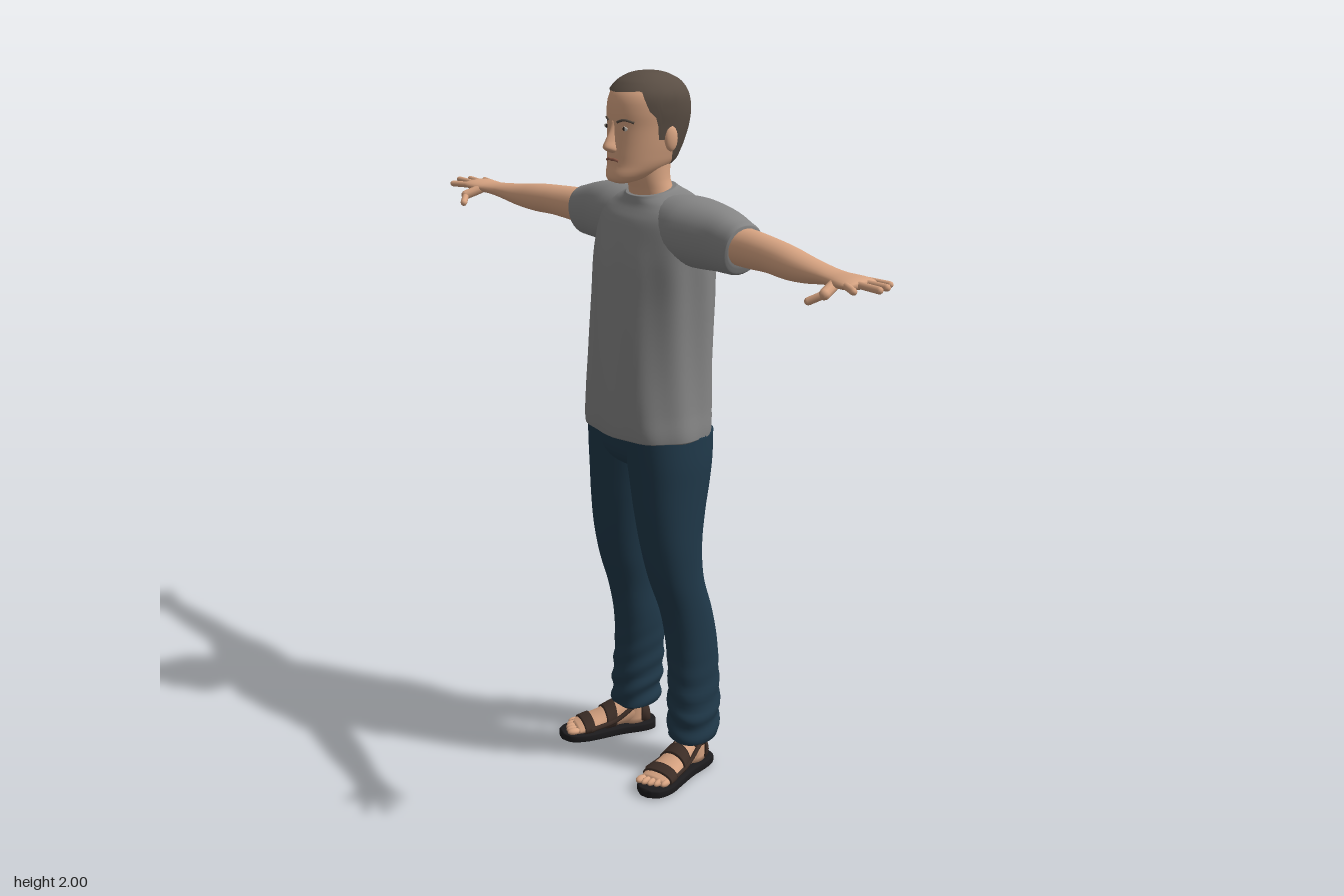
import * as THREE from 'three';

const mat = (name, color, side = THREE.FrontSide) => {
  const m = new THREE.MeshStandardMaterial({ color, side });
  m.name = name;
  return m;
};

// Sections are [w, uMin, uMax, vMin, vMax]; smooth interpolation at position w
function sample(secs, w) {
  const last = secs.length - 1;
  let i = 0;
  while (i < last - 1 && w > secs[i + 1][0]) i++;
  const p = secs[i], q = secs[i + 1], h = q[0] - p[0];
  const t = Math.min(1, Math.max(0, (w - p[0]) / h));
  const slope = (k, c) => {
    const a = secs[Math.max(0, k - 1)], b = secs[Math.min(last, k + 1)];
    return (b[c] - a[c]) / (b[0] - a[0]);
  };
  return [1, 2, 3, 4].map((c) =>
    (2 * t ** 3 - 3 * t * t + 1) * p[c] + (t ** 3 - 2 * t * t + t) * h * slope(i, c) +
    (3 * t * t - 2 * t ** 3) * q[c] + (t ** 3 - t * t) * h * slope(i + 1, c));
}

// Closed skin over rounded sections along x (u=y,v=z), y (u=z,v=x) or z (u=x,v=y)
function loft(axis, secs, { seg = 32, sub = 4, n = 2, from = null, warp = null } = {}) {
  const rows = [];
  secs.forEach((s, i) => {
    if (i === 0) rows.push(s[0]);
    else for (let k = 1; k <= sub; k++) rows.push(secs[i - 1][0] + (s[0] - secs[i - 1][0]) * k / sub);
  });
  const w0 = rows[0], w1 = rows[rows.length - 1], pos = [], idx = [];
  const bend = (x) => Math.sign(x) * Math.abs(x) ** (2 / n);
  const put = (u, v, w, c, s) => {
    const p = axis === 'x' ? new THREE.Vector3(w, u, v)
      : axis === 'y' ? new THREE.Vector3(v, w, u) : new THREE.Vector3(u, v, w);
    if (warp) warp(p, c, s);
    pos.push(p.x, p.y, p.z);
  };
  for (const row of rows) {
    for (let j = 0; j < seg; j++) {
      const th = j / seg * Math.PI * 2, c = bend(Math.cos(th)), s = bend(Math.sin(th));
      const start = from ? from(Math.min(th, 2 * Math.PI - th)) : w0;
      const w = start + (row - w0) * (w1 - start) / (w1 - w0);
      const [a, b, d, e] = sample(secs, w);
      put((a + b) / 2 + (b - a) / 2 * c, (d + e) / 2 + (e - d) / 2 * s, w, c, s);
    }
  }
  for (let i = 0; i < rows.length - 1; i++) for (let j = 0; j < seg; j++) {
    const a = i * seg + j, b = i * seg + (j + 1) % seg;
    idx.push(a, b, a + seg, b, b + seg, a + seg);
  }
  const cap = (w, base, flip) => {
    const [a, b, d, e] = sample(secs, w), k = pos.length / 3;
    put((a + b) / 2, (d + e) / 2, w, 0, 0);
    for (let j = 0; j < seg; j++) {
      const p = base + j, q = base + (j + 1) % seg;
      idx.push(k, flip ? q : p, flip ? p : q);
    }
  };
  if (!from) cap(w0, 0, true);
  cap(w1, (rows.length - 1) * seg, false);
  const g = new THREE.BufferGeometry();
  g.setAttribute('position', new THREE.Float32BufferAttribute(pos, 3));
  g.setIndex(idx);
  g.computeVertexNormals();
  return g;
}

const grow = (secs, d) => secs.map(([w, a, b, c, e]) => [w, a - d, b + d, c - d, e + d]);
const slice = (secs, a, b, d) => grow([0, 0.5, 1].map((t) => [a + (b - a) * t, ...sample(secs, a + (b - a) * t)]), d);
const vec = (p) => new THREE.Vector3(...p);
const ball = (p, r) => new THREE.SphereGeometry(1, 16, 12).scale(...r).translate(...p);
const tube = (pts, r) => new THREE.TubeGeometry(new THREE.CatmullRomCurve3(pts.map(vec)), 12, r, 6);

// Round-ended rod between two points
function rod(p, q, r) {
  const a = vec(p), b = vec(q), d = b.clone().sub(a), mid = a.add(b).multiplyScalar(0.5);
  return new THREE.CapsuleGeometry(r, d.length(), 4, 10)
    .applyQuaternion(new THREE.Quaternion().setFromUnitVectors(new THREE.Vector3(0, 1, 0), d.normalize()))
    .translate(mid.x, mid.y, mid.z);
}

function mirror(geo) {
  const g = geo.clone().scale(-1, 1, 1), ix = g.index.array;
  for (let i = 0; i < ix.length; i += 3) [ix[i], ix[i + 1]] = [ix[i + 1], ix[i]];
  return g;
}

export function createModel() {
  const model = new THREE.Group();
  model.name = 'standingMan';
  const skin = mat('skin', 0xd8a482), hair = mat('hair', 0x5a4e44, THREE.DoubleSide);
  const cloth = mat('greyShirt', 0x858585), denim = mat('denim', 0x20394a);
  const leather = mat('brownLeather', 0x3d2e27, THREE.DoubleSide), rubber = mat('blackRubber', 0x1c1b1d);
  const white = mat('eyeWhite', 0xd8d2c8), dark = mat('iris', 0x2c2420), lip = mat('lip', 0x8f5c4a);
  const add = (name, geo, m) => {
    const mesh = new THREE.Mesh(geo, m);
    mesh.name = name;
    model.add(mesh);
  };
  const pair = (name, geo, m) => {
    add('left' + name, geo, m);
    add('right' + name, mirror(geo), m);
  };

  // Shirt body, with soft folds and a neckline that dips at the front
  const foldShirt = (p, c, s) => {
    const k = 0.003 * Math.sin(9 * Math.atan2(s, c) + p.y * 7) * THREE.MathUtils.smoothstep(1.62 - p.y, 0, 0.15);
    p.z += c * k;
    p.x += s * k;
    p.y -= Math.max(0, p.z + 0.07) * 0.25 * THREE.MathUtils.smoothstep(p.y, 1.6, 1.7);
  };
  add('shirtBody', loft('y', [
    [1.016, -0.142, 0.13, -0.19, 0.19], [1.024, -0.15, 0.142, -0.2, 0.2], [1.1, -0.16, 0.145, -0.193, 0.193],
    [1.2, -0.165, 0.14, -0.188, 0.188], [1.3, -0.166, 0.132, -0.188, 0.188], [1.4, -0.165, 0.122, -0.192, 0.192],
    [1.5, -0.158, 0.11, -0.198, 0.198], [1.57, -0.148, 0.092, -0.2, 0.2], [1.62, -0.135, 0.075, -0.197, 0.197],
    [1.655, -0.118, 0.062, -0.18, 0.18], [1.68, -0.1, 0.052, -0.135, 0.135], [1.695, -0.082, 0.048, -0.088, 0.088],
    [1.703, -0.074, 0.045, -0.074, 0.074],
  ], { seg: 72, sub: 5, n: 2.3, warp: foldShirt }), cloth);

  // Sleeves with a slanted hem
  pair('Sleeve', loft('x', [
    [0.06, 1.5, 1.68, -0.13, 0.05], [0.15, 1.5, 1.683, -0.142, 0.058], [0.22, 1.5, 1.677, -0.138, 0.045],
    [0.28, 1.503, 1.666, -0.126, 0.028], [0.34, 1.505, 1.648, -0.113, 0.02], [0.365, 1.51, 1.64, -0.107, 0.016],
    [0.369, 1.53, 1.628, -0.1, 0.008],
  ], { n: 2.2, warp: (p) => { p.x += (p.y - 1.585) * 0.18 * THREE.MathUtils.smoothstep(p.x, 0.2, 0.36); } }), cloth);

  // Arms and palms
  pair('Arm', loft('x', [
    [0.3, 1.535, 1.632, -0.105, 0.01], [0.38, 1.532, 1.632, -0.1, 0.008], [0.5, 1.54, 1.627, -0.08, 0.02],
    [0.58, 1.54, 1.622, -0.065, 0.03], [0.66, 1.547, 1.612, -0.05, 0.036], [0.74, 1.56, 1.604, -0.035, 0.042],
    [0.79, 1.566, 1.601, -0.03, 0.05], [0.83, 1.568, 1.602, -0.032, 0.064], [0.86, 1.571, 1.602, -0.032, 0.07],
    [0.88, 1.576, 1.599, -0.029, 0.067], [0.89, 1.582, 1.594, -0.022, 0.06],
  ], { seg: 24 }), skin);
  const fingers = [
    ['LittleFinger', [0.86, 1.588, -0.023], [0.92, 1.588, -0.031], 0.008],
    ['RingFinger', [0.87, 1.588, 0.004], [0.947, 1.59, 0.004], 0.009],
    ['MiddleFinger', [0.87, 1.588, 0.03], [0.958, 1.59, 0.037], 0.009],
    ['IndexFinger', [0.865, 1.587, 0.056], [0.92, 1.586, 0.081], 0.009],
    ['ThumbBase', [0.815, 1.58, 0.045], [0.83, 1.564, 0.088], 0.014],
    ['ThumbTip', [0.83, 1.564, 0.088], [0.802, 1.546, 0.112], 0.01],
  ];
  for (const [name, p, q, r] of fingers) pair(name, rod(p, q, r), skin);

  // Jeans: seat and two legs, crumpled towards the ankles
  add('jeansSeat', loft('y', [
    [0.91, -0.06, 0.05, -0.08, 0.08], [0.935, -0.105, 0.09, -0.15, 0.15], [0.97, -0.135, 0.112, -0.19, 0.19],
    [1.04, -0.142, 0.12, -0.194, 0.194],
  ], { n: 2.3 }), denim);
  const crumple = (p, c, s) => {
    const k = 0.004 * Math.sin(p.y * 95 + 2 * c + 3 * s) * THREE.MathUtils.smoothstep(0.42 - p.y, 0, 0.3);
    p.z += c * k;
    p.x += s * k;
  };
  pair('JeansLeg', loft('y', [
    [0.093, -0.122, 0, 0.095, 0.198], [0.103, -0.135, 0.01, 0.08, 0.209], [0.16, -0.14, 0.01, 0.077, 0.21],
    [0.2, -0.145, 0.01, 0.075, 0.207], [0.3, -0.145, 0.006, 0.07, 0.2], [0.4, -0.14, 0.012, 0.065, 0.196],
    [0.5, -0.12, 0.032, 0.064, 0.195], [0.6, -0.092, 0.064, 0.05, 0.197], [0.7, -0.087, 0.085, 0.034, 0.2],
    [0.8, -0.102, 0.098, 0.016, 0.2], [0.88, -0.12, 0.105, 0.002, 0.2], [0.95, -0.132, 0.111, -0.01, 0.2],
    [1.03, -0.14, 0.118, -0.02, 0.195],
  ], { sub: 7, n: 2.2, warp: crumple }), denim);

  // Feet in sandals, turned outwards
  const onFoot = (name, geo, m) => pair(name, geo.rotateY(0.27).translate(0.172, 0, 0.02), m);
  const foot = [
    [-0.13, -0.015, 0.015, 0.02, 0.06], [-0.115, -0.03, 0.03, 0.02, 0.09], [-0.07, -0.035, 0.035, 0.02, 0.115],
    [-0.02, -0.036, 0.038, 0.02, 0.1], [0.03, -0.042, 0.046, 0.02, 0.075], [0.08, -0.045, 0.051, 0.02, 0.056],
    [0.108, -0.04, 0.046, 0.02, 0.044],
  ];
  const ankle = [[0.03, -0.122, -0.04, -0.034, 0.034], [0.09, -0.125, -0.038, -0.036, 0.036], [0.16, -0.125, -0.045, -0.036, 0.036]];
  onFoot('Foot', loft('z', foot), skin);
  onFoot('Ankle', loft('y', ankle), skin);
  for (let i = 0; i < 5; i++)
    onFoot('Toe' + (i + 1), ball([-0.029 + i * 0.0175, 0.035, 0.12 - i * i * 0.0015], [i ? 0.009 : 0.013, 0.01, 0.02]), skin);
  onFoot('SandalSole', loft('z', [
    [-0.148, -0.014, 0.014, 0, 0.028], [-0.138, -0.034, 0.034, 0, 0.03], [-0.1, -0.044, 0.044, 0, 0.03],
    [-0.03, -0.042, 0.045, 0, 0.03], [0.05, -0.05, 0.056, 0, 0.028], [0.09, -0.05, 0.06, 0, 0.027],
    [0.13, -0.037, 0.048, 0, 0.027], [0.15, -0.012, 0.024, 0.003, 0.027],
  ], { n: 5 }), rubber);
  onFoot('AnkleStrap', loft('y', slice(ankle, 0.085, 0.118, 0.006)), leather);
  onFoot('HeelStrap', loft('z', slice(foot, -0.128, -0.095, 0.005)), leather);
  onFoot('InstepStrap', loft('z', slice(foot, -0.015, 0.018, 0.005)), leather);
  onFoot('ToeStrap', loft('z', slice(foot, 0.058, 0.088, 0.005)), leather);
  for (const s of [-1, 1])
    onFoot(s < 0 ? 'InnerStrap' : 'OuterStrap', tube([[s * 0.036, 0.09, -0.07], [s * 0.042, 0.055, -0.01], [s * 0.049, 0.04, 0.07]], 0.007), leather);

  // Neck and head
  add('neck', loft('y', [
    [1.62, -0.09, 0.03, -0.085, 0.085], [1.69, -0.07, 0.042, -0.069, 0.069], [1.72, -0.062, 0.05, -0.064, 0.064],
    [1.78, -0.066, 0.06, -0.062, 0.062],
  ]), skin);
  const head = [
    [1.712, 0.06, 0.1, -0.02, 0.02], [1.719, 0.03, 0.117, -0.038, 0.038], [1.735, -0.02, 0.121, -0.055, 0.055],
    [1.76, -0.07, 0.115, -0.069, 0.069], [1.79, -0.09, 0.113, -0.077, 0.077], [1.82, -0.103, 0.111, -0.083, 0.083],
    [1.86, -0.115, 0.109, -0.089, 0.089], [1.9, -0.118, 0.109, -0.094, 0.094], [1.94, -0.109, 0.1, -0.092, 0.092],
    [1.97, -0.088, 0.076, -0.074, 0.074], [1.986, -0.06, 0.05, -0.052, 0.052], [1.994, -0.036, 0.026, -0.03, 0.03],
    [1.997, -0.012, 0.002, -0.008, 0.008],
  ];
  add('head', loft('y', head, { seg: 48, n: 2.15 }), skin);

  // Hair shell; its lower edge follows a hairline around the head
  const hairline = [[0, 1.947], [0.85, 1.952], [1.1, 1.9], [1.3, 1.88], [1.4, 1.825], [1.6, 1.825], [1.72, 1.85], [2.0, 1.775], [2.3, 1.75], [3.15, 1.742]];
  const edge = (th) => {
    let i = 0;
    while (th > hairline[i + 1][0]) i++;
    const [a, b] = [hairline[i], hairline[i + 1]];
    return a[1] + (b[1] - a[1]) * (th - a[0]) / (b[0] - a[0]);
  };
  add('hair', loft('y', grow(head, 0.005), { seg: 80, n: 2.15, from: edge }).translate(0, 0.003, 0), hair);

  // Face
  const faceZ = (x, y) => {
    const [a, b, , e] = sample(head, y);
    return (a + b) / 2 + (b - a) / 2 * (1 - (Math.abs(x) / e) ** 2.15) ** (1 / 2.15);
  };
  const onFace = (pts, out) => pts.map(([x, y]) => [x, y, faceZ(x, y) + out]);
  add('nose', loft('y', [
    [1.792, 0.09, 0.112, -0.01, 0.01], [1.798, 0.085, 0.128, -0.017, 0.017], [1.808, 0.085, 0.139, -0.017, 0.017],
    [1.825, 0.085, 0.132, -0.012, 0.012], [1.85, 0.085, 0.119, -0.009, 0.009], [1.878, 0.085, 0.109, -0.009, 0.009],
  ], { seg: 20 }), skin);
  add('mouth', tube(onFace([[-0.027, 1.772], [-0.012, 1.776], [0, 1.775], [0.012, 1.776], [0.027, 1.772]], 0), 0.004), lip);
  pair('Eye', ball([0.04, 1.858, faceZ(0.04, 1.858)], [0.014, 0.006, 0.003]), white);
  pair('Iris', ball([0.04, 1.858, faceZ(0.04, 1.858) + 0.001], [0.006, 0.0055, 0.003]), dark);
  pair('Eyebrow', tube(onFace([[0.018, 1.874], [0.04, 1.881], [0.062, 1.874]], 0), 0.0035), hair);
  pair('Ear', ball([0.09, 1.83, -0.015], [0.011, 0.034, 0.02]).rotateX(0), skin);
  return model;
}
